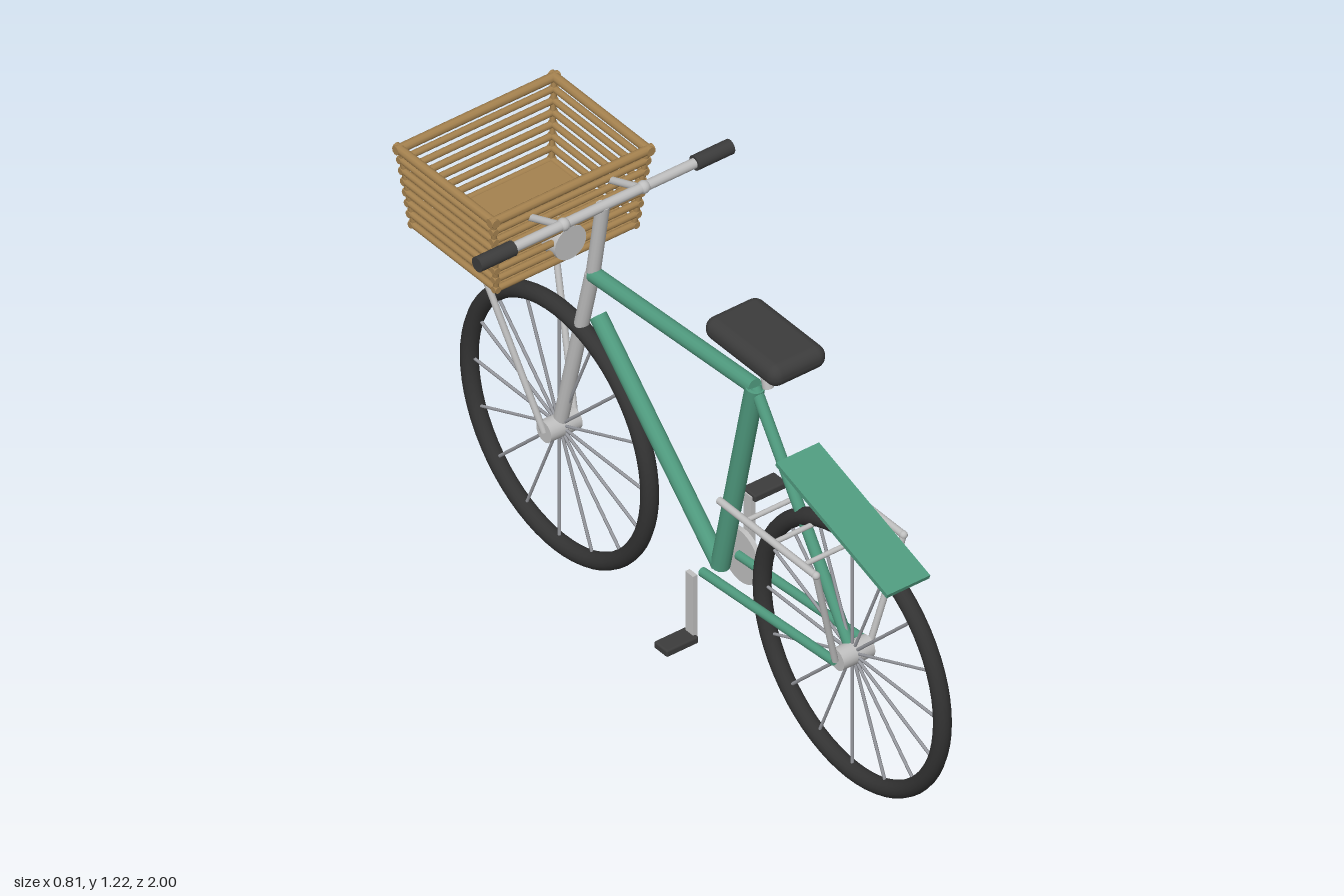
import * as THREE from 'three';
import { RoundedBoxGeometry } from 'three/addons/geometries/RoundedBoxGeometry.js';

const paint = (name, color) => {
  const m = new THREE.MeshStandardMaterial({ color });
  m.name = name;
  return m;
};

export function createModel() {
  const green = paint('green paint', 0x4f9a7e);
  const steel = paint('steel', 0xbfbfbf);
  const spokeSteel = paint('spoke steel', 0x9a9ca2);
  const rubber = paint('tyre rubber', 0x333333);
  const black = paint('saddle black', 0x3c3c3c);
  const wicker = paint('wicker', 0xa5824f);

  const bike = new THREE.Group();
  bike.name = 'bicycle';

  const add = (name, geometry, material, pos = [0, 0, 0], parent = bike) => {
    const mesh = new THREE.Mesh(geometry, material);
    mesh.name = name;
    mesh.position.set(...pos);
    parent.add(mesh);
    return mesh;
  };
  // Straight round bar between two points
  const bar = (name, a, b, r, material, parent = bike, sides = 14) => {
    const p = new THREE.Vector3(...a), q = new THREE.Vector3(...b);
    const dir = q.clone().sub(p);
    const mesh = add(name, new THREE.CylinderGeometry(r, r, dir.length(), sides), material, [0, 0, 0], parent);
    mesh.position.copy(p).add(q).multiplyScalar(0.5);
    mesh.quaternion.setFromUnitVectors(new THREE.Vector3(0, 1, 0), dir.normalize());
    return mesh;
  };
  const ball = (name, pos, r, material) => add(name, new THREE.SphereGeometry(r, 16, 12), material, pos);

  // Wheels
  const axleY = 0.397, axleZ = 0.604;
  for (const [name, z] of [['rearWheel', axleZ], ['frontWheel', -axleZ]]) {
    const wheel = new THREE.Group();
    wheel.name = name;
    wheel.position.set(0, axleY, z);
    bike.add(wheel);
    add('tyre', new THREE.TorusGeometry(0.372, 0.024, 14, 64), rubber, [0, 0, 0], wheel).rotation.y = Math.PI / 2;
    bar('hub', [-0.05, 0, 0], [0.05, 0, 0], 0.031, steel, wheel, 20);
    for (let i = 0; i < 16; i++) {
      const a = (i / 16) * Math.PI * 2;
      bar('spoke', [0, 0, 0], [0, Math.sin(a) * 0.36, Math.cos(a) * 0.36], 0.0045, spokeSteel, wheel, 6);
    }
  }

  // Frame
  const seatTop = [0, 1.0, 0.203], crankY = 0.35, crankZ = 0.06;
  bar('seatTube', [0, crankY, crankZ], seatTop, 0.026, green);
  bar('topTube', seatTop, [0, 0.958, -0.465], 0.022, green);
  bar('downTube', [0, crankY, crankZ], [0, 0.838, -0.445], 0.024, green);
  bar('seatStay', seatTop, [0, axleY, axleZ], 0.016, green);
  for (const s of [-1, 1]) {
    bar('chainStay', [s * 0.058, axleY, axleZ], [s * 0.058, 0.355, crankZ], 0.013, green);
  }

  // Fork and stem
  bar('fork', [0, 0.96, -0.467], [0, axleY, -axleZ], 0.02, steel);
  bar('stem', [0, 1.2, -0.425], [0, 0.95, -0.467], 0.019, steel);

  // Handlebar with grips
  bar('handlebar', [-0.3, 1.2, -0.422], [0.3, 1.2, -0.422], 0.014, steel);
  for (const s of [-1, 1]) {
    bar('grip', [s * 0.29, 1.2, -0.422], [s * 0.405, 1.2, -0.422], 0.021, black, bike, 18);
  }

  // Saddle and post
  add('saddle', new RoundedBoxGeometry(0.18, 0.066, 0.3, 5, 0.031), black, [0, 1.167, 0.246]);
  bar('seatPost', [0, 1.03, 0.257], [0, 1.145, 0.228], 0.015, steel);

  // Chainring, cranks and pedals
  bar('chainring', [0.062, crankY, crankZ], [0.076, crankY, crankZ], 0.08, steel, bike, 32);
  for (const s of [-1, 1]) {
    add('crank', new THREE.BoxGeometry(0.014, 0.2, 0.032), steel, [s * 0.093, crankY + s * 0.083, crankZ]);
    add('pedal', new RoundedBoxGeometry(0.103, 0.022, 0.055, 2, 0.006), black, [s * 0.141, crankY + s * 0.18, crankZ]);
  }

  // Rear rack
  const rackY = 0.724;
  for (const s of [-1, 1]) {
    bar('rackRail', [s * 0.14, rackY, 0.235], [s * 0.14, rackY, 0.635], 0.01, steel);
    bar('rackStrut', [s * 0.14, rackY, 0.635], [s * 0.055, axleY, axleZ], 0.009, steel);
    ball('rackJoint', [s * 0.14, rackY, 0.635], 0.011, steel);
  }
  for (const z of [0.345, 0.46, 0.58]) {
    bar('rackCrossbar', [-0.14, rackY, z], [0.14, rackY, z], 0.007, steel);
  }

  // Rear mudguard, a sloping flat plate
  const guard = add('mudguard', new THREE.BoxGeometry(0.137, 0.013, 0.482), green, [0, 0.817, 0.606]);
  guard.rotation.x = Math.atan2(0.147, 0.46);

  // Wicker basket, flaring towards the rim
  const basket = new THREE.Group();
  basket.name = 'basket';
  basket.position.z = -0.751;
  bike.add(basket);
  const ring = (name, y, hx, hz, r) => {
    for (const s of [-1, 1]) {
      bar(name, [-hx - r, y, s * hz], [hx + r, y, s * hz], r, wicker, basket, 10);
      bar(name, [s * hx, y, -hz - r], [s * hx, y, hz + r], r, wicker, basket, 10);
    }
  };
  const rows = 7;
  for (let i = 0; i < rows; i++) {
    const t = i / rows;
    ring('wickerRow', 0.945 + t * 0.237, 0.222 + t * 0.026, 0.172 + t * 0.022, 0.0095);
  }
  ring('basketRim', 1.182, 0.248, 0.194, 0.013);
  for (const sx of [-1, 1]) for (const sz of [-1, 1]) {
    bar('cornerStake', [sx * 0.22, 0.94, sz * 0.17], [sx * 0.246, 1.18, sz * 0.192], 0.008, wicker, basket, 8);
  }
  add('basketFloor', new THREE.BoxGeometry(0.445, 0.012, 0.345), wicker, [0, 0.942, 0], basket);

  // Basket brackets and stays
  for (const s of [-1, 1]) {
    bar('basketBracket', [s * 0.128, 1.195, -0.422], [s * 0.128, 1.14, -0.56], 0.01, steel);
    ball('bracketClamp', [s * 0.128, 1.2, -0.422], 0.018, steel);
    bar('basketStay', [s * 0.13, 0.94, -0.815], [s * 0.05, axleY, -axleZ], 0.009, steel);
  }

  // Headlamp
  const lamp = add('headlamp', new THREE.CylinderGeometry(0.05, 0.055, 0.05, 28), steel, [0, 1.0, -0.583]);
  lamp.rotation.x = Math.PI / 2;

  return bike;
}
